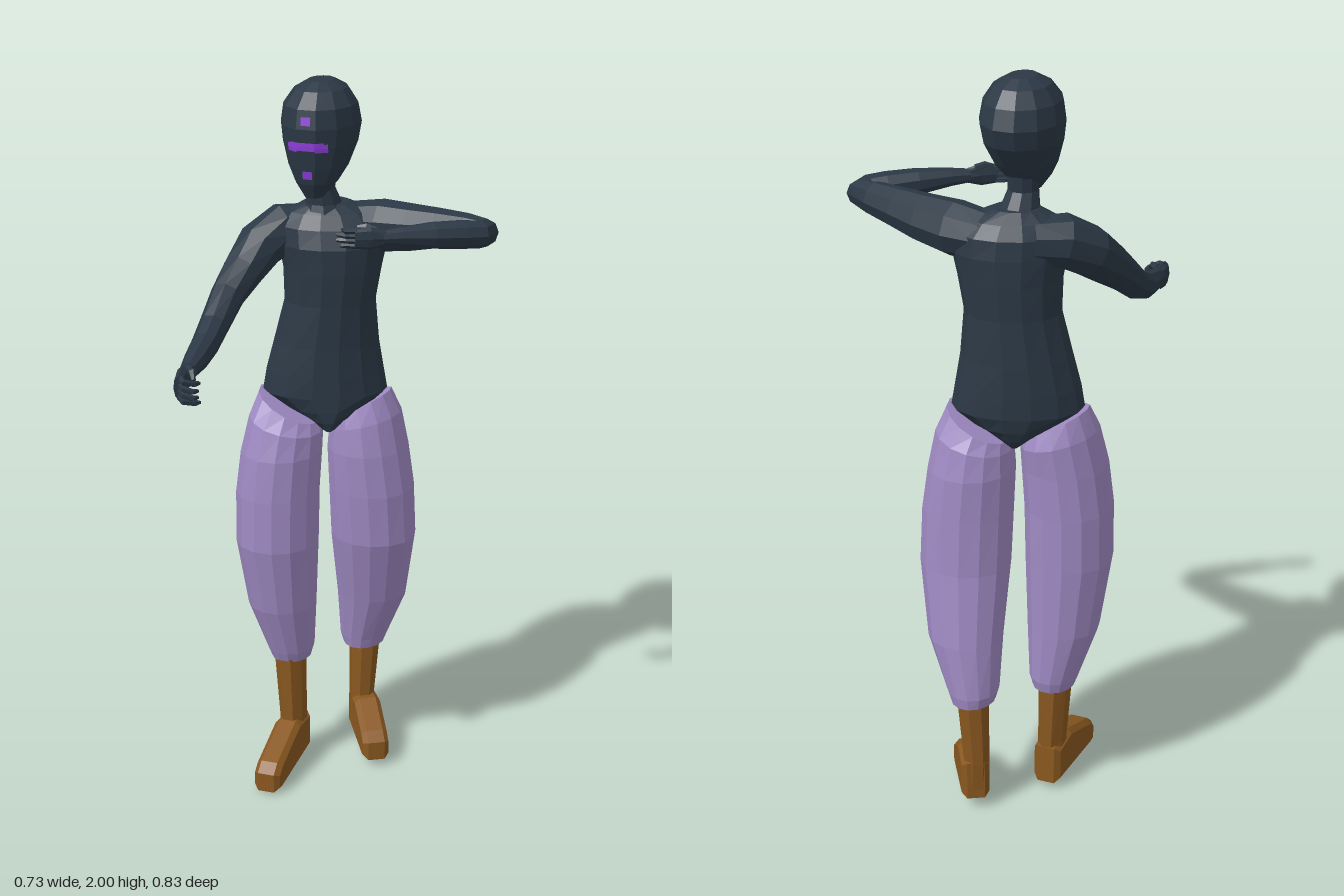
import * as THREE from 'three';

const mat = (name, color, double) => {
  const m = new THREE.MeshStandardMaterial({ color, flatShading: true });
  m.name = name;
  if (double) m.side = THREE.DoubleSide;
  return m;
};

// Skin a list of vertex rings (counter-clockwise about the travel direction), closing both ends
function skin(rings) {
  const n = rings[0].length, pos = [];
  const tri = (...p) => p.forEach(v => pos.push(v.x, v.y, v.z));
  const mid = r => r.reduce((s, v) => s.add(v), new THREE.Vector3()).divideScalar(n);
  const first = rings[0], last = rings[rings.length - 1], a = mid(first), b = mid(last);
  for (let i = 0; i < n; i++) {
    const j = (i + 1) % n;
    for (let k = 0; k < rings.length - 1; k++) {
      const p = rings[k], q = rings[k + 1];
      tri(p[i], p[j], q[j]);
      tri(p[i], q[j], q[i]);
    }
    tri(a, first[j], first[i]);
    tri(b, last[i], last[j]);
  }
  const g = new THREE.BufferGeometry();
  g.setAttribute('position', new THREE.Float32BufferAttribute(pos, 3));
  g.computeVertexNormals();
  return g;
}

// Upright form: sections [y, centreX, centreZ, halfX, halfZ, sideTilt], listed upwards
function upright(sections, sides, yaw = 0) {
  const c = Math.cos(yaw), s = Math.sin(yaw);
  return skin(sections.map(([y, cx, cz, hx, hz, tilt = 0]) =>
    Array.from({ length: sides }, (_, i) => {
      const t = (i + 0.5) / sides * Math.PI * 2, u = hx * Math.sin(t), v = hz * Math.cos(t);
      return new THREE.Vector3(cx + u * c + v * s, y + tilt * Math.sin(t), cz - u * s + v * c);
    })));
}

// Limb along a path: points [x, y, z, sideRadius, upRadius]
function limb(points, sides) {
  const P = points.map(p => new THREE.Vector3(p[0], p[1], p[2])), up = new THREE.Vector3(0, 1, 0);
  return skin(points.map(([, , , ra, rb = ra], k) => {
    const before = P[k].clone().sub(P[Math.max(k - 1, 0)]).normalize();
    const after = P[Math.min(k + 1, P.length - 1)].clone().sub(P[k]).normalize();
    const t = before.add(after).normalize();
    const side = up.clone().cross(t).normalize(), top = t.clone().cross(side);
    return Array.from({ length: sides }, (_, i) => {
      const a = i / sides * Math.PI * 2;
      return P[k].clone().addScaledVector(side, ra * Math.cos(a)).addScaledVector(top, rb * Math.sin(a));
    });
  }));
}

export function createModel() {
  const model = new THREE.Group();
  const suit = mat('dark suit', 0x2b3845), cloth = mat('lilac cloth', 0xa08bc4);
  const leather = mat('brown leather', 0x8a5820), glow = mat('violet markings', 0x8f3fdc, true);
  const add = (name, geometry, material) => {
    const m = new THREE.Mesh(geometry, material);
    m.name = name;
    model.add(m);
    return m;
  };

  // Head and neck
  const head = add('head', upright([
    [1.70, -0.13, -0.13, 0.025, 0.028], [1.74, -0.13, -0.15, 0.057, 0.067],
    [1.78, -0.13, -0.166, 0.079, 0.092], [1.84, -0.13, -0.183, 0.098, 0.12],
    [1.89, -0.13, -0.189, 0.105, 0.129], [1.94, -0.13, -0.186, 0.097, 0.118],
    [1.98, -0.13, -0.19, 0.07, 0.085], [2.0, -0.13, -0.19, 0.035, 0.045],
  ], 12), suit);
  add('neck', upright([
    [1.62, -0.125, -0.205, 0.075, 0.075], [1.67, -0.127, -0.195, 0.05, 0.05],
    [1.71, -0.13, -0.183, 0.04, 0.04], [1.79, -0.13, -0.185, 0.042, 0.045],
  ], 10), suit);

  // Torso, narrowing to the crotch at the bottom
  add('torso', upright([
    [1.045, -0.115, -0.195, 0.025, 0.085], [1.07, -0.118, -0.2, 0.06, 0.1],
    [1.10, -0.122, -0.205, 0.115, 0.108], [1.14, -0.128, -0.208, 0.171, 0.112],
    [1.20, -0.128, -0.208, 0.161, 0.112], [1.28, -0.124, -0.208, 0.144, 0.11],
    [1.40, -0.113, -0.208, 0.124, 0.108], [1.49, -0.106, -0.208, 0.133, 0.111],
    [1.56, -0.105, -0.208, 0.147, 0.111], [1.61, -0.11, -0.212, 0.145, 0.1],
    [1.645, -0.115, -0.215, 0.115, 0.075], [1.67, -0.122, -0.21, 0.06, 0.05],
  ], 14, 0.35), suit);

  // Arms, shoulder to wrist
  add('rightArm', limb([
    [-0.17, 1.595, -0.23, 0.06], [-0.235, 1.59, -0.185, 0.07], [-0.285, 1.55, -0.125, 0.066],
    [-0.308, 1.5, -0.06, 0.056], [-0.325, 1.45, 0.01, 0.046], [-0.33, 1.39, 0.1, 0.04],
    [-0.326, 1.362, 0.17, 0.037], [-0.32, 1.345, 0.25, 0.032], [-0.316, 1.335, 0.315, 0.023],
  ], 9), suit);
  add('leftArm', limb([
    [-0.06, 1.6, -0.25, 0.062], [0.03, 1.605, -0.24, 0.072], [0.12, 1.612, -0.22, 0.064],
    [0.2, 1.622, -0.2, 0.054], [0.28, 1.63, -0.177, 0.045], [0.33, 1.633, -0.158, 0.037],
    [0.323, 1.636, -0.13, 0.037], [0.285, 1.64, -0.1, 0.038], [0.22, 1.645, -0.05, 0.035],
    [0.15, 1.65, 0.003, 0.024], [0.11, 1.65, 0.033, 0.018],
  ], 9), suit);

  // Hands with curled fingers
  add('rightPalm', limb([
    [-0.316, 1.335, 0.305, 0.02, 0.024], [-0.316, 1.325, 0.35, 0.018, 0.036], [-0.308, 1.316, 0.398, 0.014, 0.034],
  ], 8), suit);
  add('leftPalm', limb([
    [0.12, 1.65, 0.026, 0.017, 0.018], [0.085, 1.651, 0.052, 0.014, 0.03], [0.05, 1.652, 0.074, 0.011, 0.026],
  ], 8), suit);
  for (let i = 0; i < 4; i++) {
    const y = 1.342 - i * 0.017, w = 1.672 - i * 0.013, reach = i % 3 ? 0 : 0.012;
    add('rightFinger', limb([
      [-0.309, y, 0.39, 0.009], [-0.29, y - 0.004, 0.41, 0.009],
      [-0.268, y - 0.012, 0.402 - reach, 0.008], [-0.262, y - 0.014, 0.385 - reach, 0.005],
    ], 5), suit);
    add('leftFinger', limb([
      [0.055, w, 0.07, 0.008], [0.03, w + 0.002, 0.086 - i * 0.003, 0.008],
      [0.004 + reach, w + 0.001, 0.078 + (i - 1.5) * 0.005, 0.005],
    ], 5), suit);
  }
  add('rightThumb', limb([[-0.31, 1.35, 0.335, 0.011], [-0.287, 1.35, 0.36, 0.01], [-0.275, 1.335, 0.38, 0.006]], 5), suit);
  add('leftThumb', limb([[0.095, 1.67, 0.04, 0.01], [0.072, 1.68, 0.046, 0.009], [0.05, 1.678, 0.052, 0.005]], 5), suit);

  // Baggy trouser legs, gathered at the shin
  add('rightTrouser', upright([
    [0.325, -0.222, -0.178, 0.056, 0.066], [0.355, -0.223, -0.176, 0.066, 0.076],
    [0.5, -0.24, -0.155, 0.096, 0.102], [0.7, -0.247, -0.138, 0.115, 0.124],
    [0.85, -0.245, -0.139, 0.116, 0.126], [0.97, -0.235, -0.145, 0.112, 0.125],
    [1.05, -0.225, -0.158, 0.1, 0.12, -0.025], [1.095, -0.22, -0.17, 0.083, 0.092, -0.045],
  ], 14), cloth);
  add('leftTrouser', upright([
    [0.325, -0.055, -0.336, 0.058, 0.072], [0.355, -0.053, -0.334, 0.068, 0.078],
    [0.5, -0.022, -0.31, 0.1, 0.097], [0.7, -0.005, -0.268, 0.121, 0.115],
    [0.85, -0.008, -0.258, 0.12, 0.12], [0.97, -0.018, -0.254, 0.113, 0.121],
    [1.05, -0.025, -0.25, 0.1, 0.11, 0.025], [1.095, -0.035, -0.243, 0.083, 0.09, 0.045],
  ], 14), cloth);

  // Boots: shaft plus wedge-shaped foot
  const boot = (side, shaft, heel, length, yaw) => {
    add(side + 'BootShaft', upright(shaft, 8, yaw + Math.PI / 2), leather);
    const s = new THREE.Shape();
    [[0, 0.02], [0, 0.13], [0.1, 0.14], [length - 0.03, 0.085], [length, 0.06], [length, 0.005], [length - 0.03, 0]]
      .forEach(([x, y], i) => i ? s.lineTo(x, y) : s.moveTo(x, y));
    const g = new THREE.ExtrudeGeometry(s, {
      depth: 0.048, bevelThickness: 0.014, bevelSize: 0.014, bevelOffset: -0.014, bevelSegments: 1,
    }).translate(0, 0, -0.024);
    const foot = add(side + 'BootFoot', g, leather);
    foot.position.set(...heel);
    foot.rotation.y = yaw;
  };
  boot('right', [[0.06, -0.212, -0.16, 0.036, 0.044], [0.14, -0.212, -0.16, 0.037, 0.05], [0.36, -0.222, -0.163, 0.045, 0.055]],
    [-0.212, 0, -0.208], 0.284, -Math.PI / 2);
  boot('left', [[0.06, -0.062, -0.34, 0.034, 0.042], [0.14, -0.064, -0.342, 0.036, 0.045], [0.36, -0.055, -0.347, 0.046, 0.05]],
    [-0.0775, 0.015, -0.376], 0.23, -Math.PI / 3);

  // Face markings laid onto the head surface
  const ray = new THREE.Raycaster();
  const marking = (name, x, y, w, h, cols) => {
    const g = new THREE.PlaneGeometry(w, h, cols, 2).translate(x, y, 0), p = g.attributes.position;
    for (let i = 0; i < p.count; i++) {
      ray.set(new THREE.Vector3(p.getX(i), p.getY(i), 1), new THREE.Vector3(0, 0, -1));
      const hit = ray.intersectObject(head)[0];
      p.setZ(i, (hit ? hit.point.z : -0.07) + 0.004);
    }
    g.computeVertexNormals();
    add(name, g, glow);
  };
  marking('browMark', -0.13, 1.912, 0.026, 0.022, 2);
  marking('chinMark', -0.13, 1.767, 0.026, 0.022, 2);
  marking('eyeBand', -0.13, 1.845, 0.092, 0.022, 8);
  for (const s of [-1, 1]) marking('eyeMark', -0.13 + s * 0.04, 1.841, 0.03, 0.022, 3);
  return model;
}
